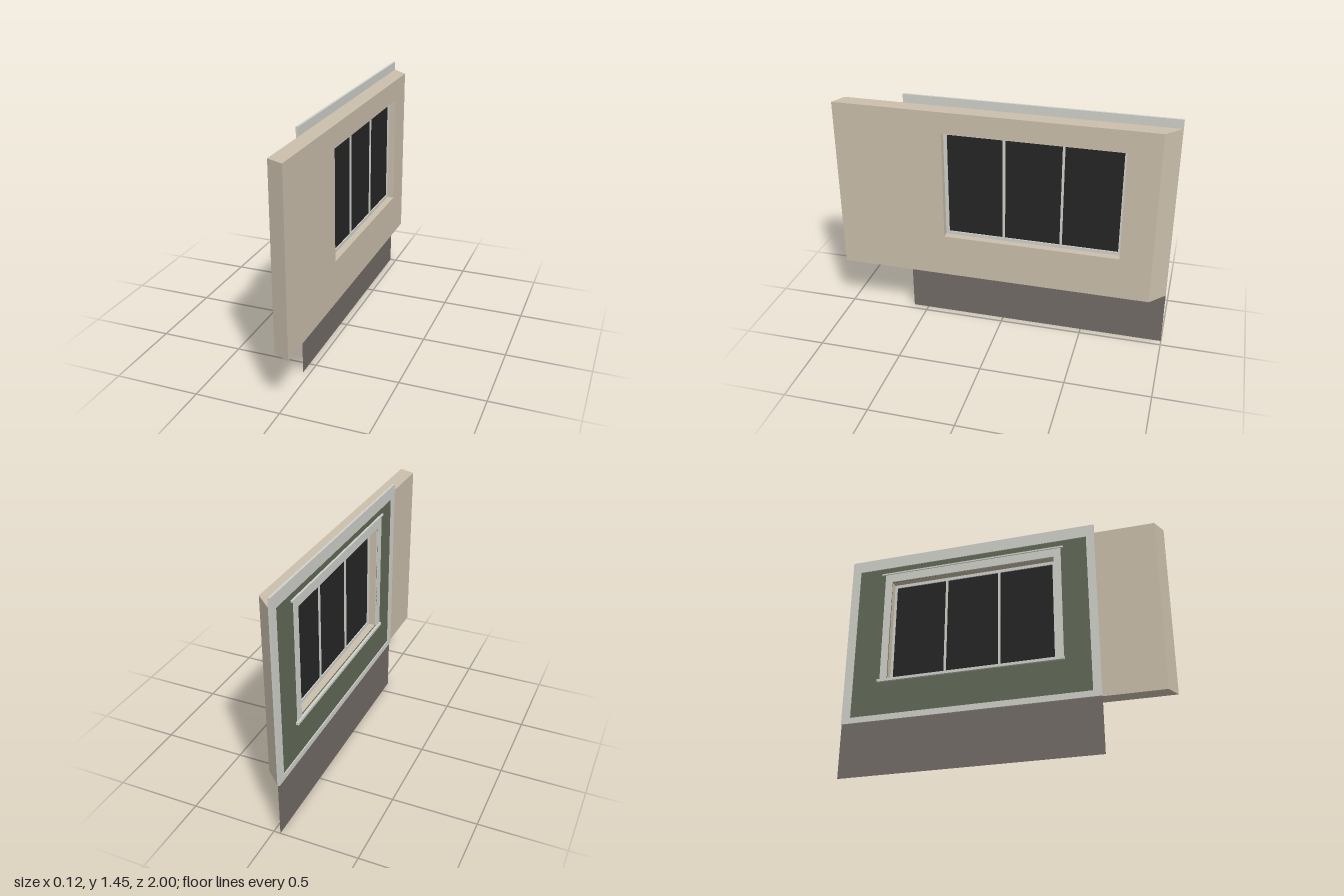
import * as THREE from 'three';

const mat = (name, color, side = THREE.FrontSide) => {
  const m = new THREE.MeshStandardMaterial({ color, side });
  m.name = name;
  return m;
};

export function createModel() {
  const plaster = mat('beige plaster', 0xcbbfac);
  const trim = mat('pale grey trim', 0xd1d2cb);
  const siding = mat('green siding', 0x616957);
  const concrete = mat('dark foundation', 0x736c66, THREE.DoubleSide);
  const glass = mat('dark glass', 0x262626, THREE.DoubleSide);

  const model = new THREE.Group();
  model.name = 'wallSection';
  const add = (name, geometry, material, parent = model) => {
    const mesh = new THREE.Mesh(geometry, material);
    mesh.name = name;
    parent.add(mesh);
    return mesh;
  };
  // box from its limits
  const box = (name, [x0, x1], [y0, y1], [z0, z1], material, parent) => {
    const g = new THREE.BoxGeometry(x1 - x0, y1 - y0, z1 - z0);
    g.translate((x0 + x1) / 2, (y0 + y1) / 2, (z0 + z1) / 2);
    return add(name, g, material, parent);
  };
  // upright slab in the z-y plane, with a rectangular hole
  const corners = ([y0, y1], [z0, z1]) =>
    [[-z1, y0], [-z0, y0], [-z0, y1], [-z1, y1]].map(p => new THREE.Vector2(...p));
  const slab = ([x0, x1], y, z, holeY, holeZ) => {
    const shape = new THREE.Shape(corners(y, z));
    shape.holes.push(new THREE.Path(corners(holeY, holeZ).reverse()));
    return new THREE.ExtrudeGeometry(shape, { depth: x1 - x0, bevelEnabled: false })
      .rotateY(Math.PI / 2).translate(x0, 0, 0);
  };

  const openY = [0.6, 1.27], openZ = [-0.72, 0.34];
  const back = -0.037;

  // plaster wall with slanted ends
  const wall = slab([back, 0.06], [0.335, 1.4], [-1, 1], openY, openZ);
  const p = wall.attributes.position;
  for (let i = 0; i < p.count; i++) {
    const x = p.getX(i), z = p.getZ(i);
    if (z < -0.9 && x > 0) p.setZ(i, -0.91);
    if (z > 0.9 && x < 0) p.setZ(i, 0.957);
  }
  wall.computeVertexNormals();
  add('wall', wall, plaster);

  // outer siding and its border boards
  add('sidingPanel', slab([-0.044, back], [0.36, 1.4], [-0.97, 0.57], openY, openZ), siding);
  add('borderTrim', slab([-0.05, back], [0.335, 1.452], [-1, 0.595], [0.372, 1.375], [-0.945, 0.545]), trim);

  // foundation skirt
  const skirt = new THREE.PlaneGeometry(1.595, 0.335).rotateY(-Math.PI / 2);
  skirt.translate(-0.04, 0.1675, -0.2025);
  add('foundation', skirt, concrete);

  // casing, head cap and sill
  const surround = new THREE.Group();
  surround.name = 'windowSurround';
  model.add(surround);
  const cx = [-0.05, back];
  box('leftCasing', cx, [0.6, 1.27], [-0.765, -0.72], trim, surround);
  box('rightCasing', cx, [0.6, 1.27], [0.34, 0.385], trim, surround);
  box('headCasing', cx, [1.27, 1.325], [-0.765, 0.385], trim, surround);
  box('headCap', [-0.056, back], [1.325, 1.335], [-0.79, 0.4], trim, surround);
  box('sill', [-0.06, back], [0.583, 0.6], [-0.78, 0.39], trim, surround);

  // window frame, panes and mullions
  const win = new THREE.Group();
  win.name = 'window';
  model.add(win);
  const fx = [0.004, 0.018], innerY = [0.62, 1.25], innerZ = [-0.705, 0.32];
  add('frame', slab(fx, openY, openZ, innerY, innerZ), trim, win);
  for (const z of [-0.02, -0.365])
    box('mullion', fx, innerY, [z - 0.007, z + 0.007], trim, win);
  const pane = new THREE.PlaneGeometry(1.025, 0.63).rotateY(Math.PI / 2);
  pane.translate(0.011, 0.935, -0.1925);
  add('glazing', pane, glass, win);

  return model;
}
